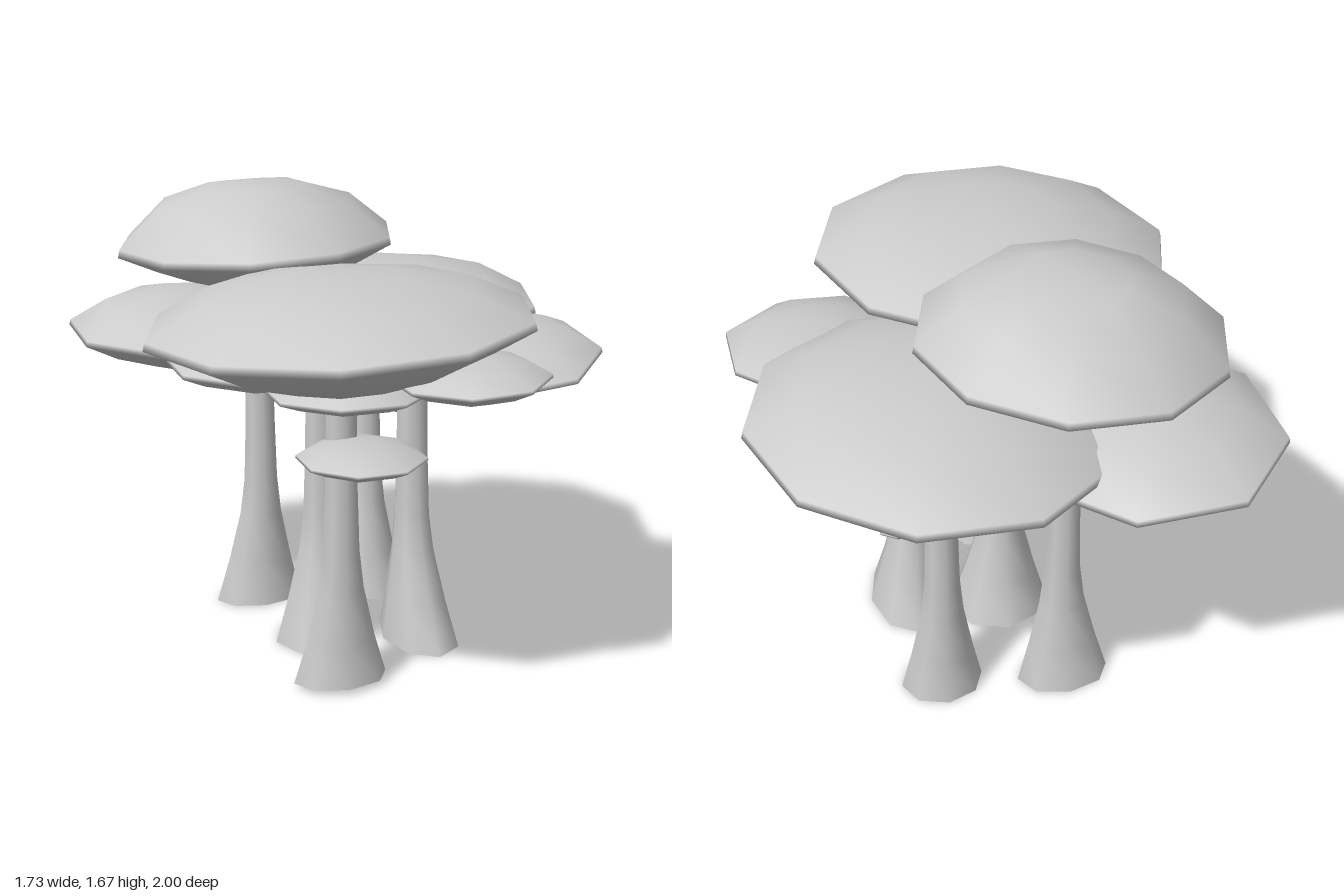
import * as THREE from 'three';
import { mergeVertices } from 'three/addons/utils/BufferGeometryUtils.js';

const material = new THREE.MeshStandardMaterial({ color: 0xcccccc, side: THREE.DoubleSide });

// Turn a profile with few sides, move every vertex by a rule, then smooth it
function turned(profile, sides, rule) {
  let geo = new THREE.LatheGeometry(profile.map(([r, y]) => new THREE.Vector2(r, y)), sides);
  geo.deleteAttribute('uv');
  geo.deleteAttribute('normal');
  geo = mergeVertices(geo, 1e-4);
  const pos = geo.attributes.position;
  const v = new THREE.Vector3();
  for (let i = 0; i < pos.count; i++) {
    rule(v.fromBufferAttribute(pos, i));
    pos.setXYZ(i, v.x, v.y, v.z);
  }
  geo.computeVertexNormals();
  return geo;
}

// Lens-shaped foliage: the rim lies at height 0, the underside at -1, the top at 1
const capProfile = [[0, -1], [0.36, -0.9], [0.72, -0.52], [1, -0.08], [0.99, 0.06], [0.7, 0.66], [0.36, 0.92], [0, 1]];

function foliage({ at: [x, z], size: [rx, rz], y: [bottom, rim, top], tilt = [0, 0], sides = 8 }) {
  const turn = Math.PI / sides;
  const fit = Math.cos(turn);
  return turned(capProfile, sides, (p) => {
    const a = Math.atan2(p.z, p.x);
    const r = Math.hypot(p.x, p.z);
    const lump = 1 + 0.06 * r * Math.sin(3 * a + x * 9 + z * 5);
    const h = p.y > 0 ? p.y * (top - rim) * lump : p.y * (rim - bottom);
    // turn so that straight rim edges face front and back
    const c = Math.cos(turn), s = Math.sin(turn);
    const px = (p.x * c + p.z * s) * rx;
    const pz = (p.z * c - p.x * s) * rz / fit;
    p.set(x + px, rim + h + (tilt[0] * px + tilt[1] * pz) * r, z + pz);
  });
}

// Hollow trunk: wide oval foot narrowing to a slim round stem
const flare = [[1, 0], [0.62, 0.17], [0.26, 0.36], [0.12, 0.5], [0.05, 0.75], [0, 1]];

function trunk({ foot: [fx, fz], size: [rx, rz], stem: [sx, sz], y: [low, high], r = 0.052 }) {
  return turned(flare.map(([k, y]) => [1 + k, y]), 8, (p) => {
    const radius = Math.hypot(p.x, p.z);
    const k = radius - 1;
    const dx = p.x / radius, dz = p.z / radius;
    p.set(
      sx + (fx - sx) * k + dx * (r + (rx - r) * k),
      p.y < 1e-6 ? low : p.y * (p.y < 1 ? 1 : high),
      sz + (fz - sz) * k + dz * (r + (rz - r) * k));
  });
}

const trunks = {
  frontTrunk: { foot: [-0.13, 0.35], size: [0.17, 0.11], stem: [-0.13, 0.365], y: [0.02, 1.22] },
  leftTrunk: { foot: [0.28, 0.06], size: [0.14, 0.22], stem: [0.245, 0.055], y: [0, 1.12], r: 0.056 },
  backLeftTrunk: { foot: [0.25, -0.42], size: [0.15, 0.125], stem: [0.25, -0.455], y: [0, 1.1] },
  backRightTrunk: { foot: [-0.19, -0.49], size: [0.17, 0.11], stem: [-0.175, -0.48], y: [0, 1.4] },
  middleTrunk: { foot: [-0.06, -0.04], size: [0.19, 0.18], stem: [-0.07, -0.05], y: [0, 1.2] },
};

const canopies = {
  topCanopy: { at: [-0.19, -0.44], size: [0.52, 0.49], y: [1.28, 1.45, 1.67], tilt: [0.05, 0], sides: 10 },
  frontCanopy: { at: [-0.145, 0.4], size: [0.655, 0.6], y: [1.1, 1.32, 1.475], tilt: [0.05, 0], sides: 10 },
  leftCanopy: { at: [0.25, -0.39], size: [0.63, 0.61], y: [0.99, 1.18, 1.355], tilt: [0.05, 0], sides: 10 },
  backRightCanopy: { at: [-0.42, -0.54], size: [0.47, 0.46], y: [0.97, 1.11, 1.26], tilt: [-0.03, 0] },
};

const clusters = {
  leftCluster: { at: [0.5, 0.19], size: [0.38, 0.37], y: [0.99, 1.11, 1.22], tilt: [0.1, -0.1] },
  frontCluster: { at: [0.19, 0.7], size: [0.26, 0.25], y: [1.1, 1.18, 1.25], tilt: [0.04, 0] },
  rightCluster: { at: [-0.35, 0.15], size: [0.32, 0.3], y: [1.05, 1.14, 1.24] },
  middleCluster: { at: [-0.11, 0.38], size: [0.29, 0.25], y: [1.01, 1.08, 1.17] },
  lowFrontCluster: { at: [-0.1, 0.485], size: [0.22, 0.205], y: [0.81, 0.875, 0.925] },
  lowLeftCluster: { at: [0.38, -0.28], size: [0.28, 0.26], y: [0.9, 0.97, 1.04], tilt: [0.05, 0] },
  backSprig: { at: [0.1, -0.49], size: [0.1, 0.062], y: [0.82, 0.87, 0.91] },
  lowestSprig: { at: [0.38, -0.43], size: [0.085, 0.065], y: [0.73, 0.775, 0.83], tilt: [-0.1, 0] },
};

export function createModel() {
  const model = new THREE.Group();
  model.name = 'treeGrove';
  const addAll = (groupName, parts, build) => {
    const group = new THREE.Group();
    group.name = groupName;
    for (const [name, part] of Object.entries(parts)) {
      const mesh = new THREE.Mesh(build(part), material);
      mesh.name = name;
      group.add(mesh);
    }
    model.add(group);
  };
  addAll('trunks', trunks, trunk);
  addAll('canopies', canopies, foliage);
  addAll('lowerFoliage', clusters, foliage);
  return model;
}
